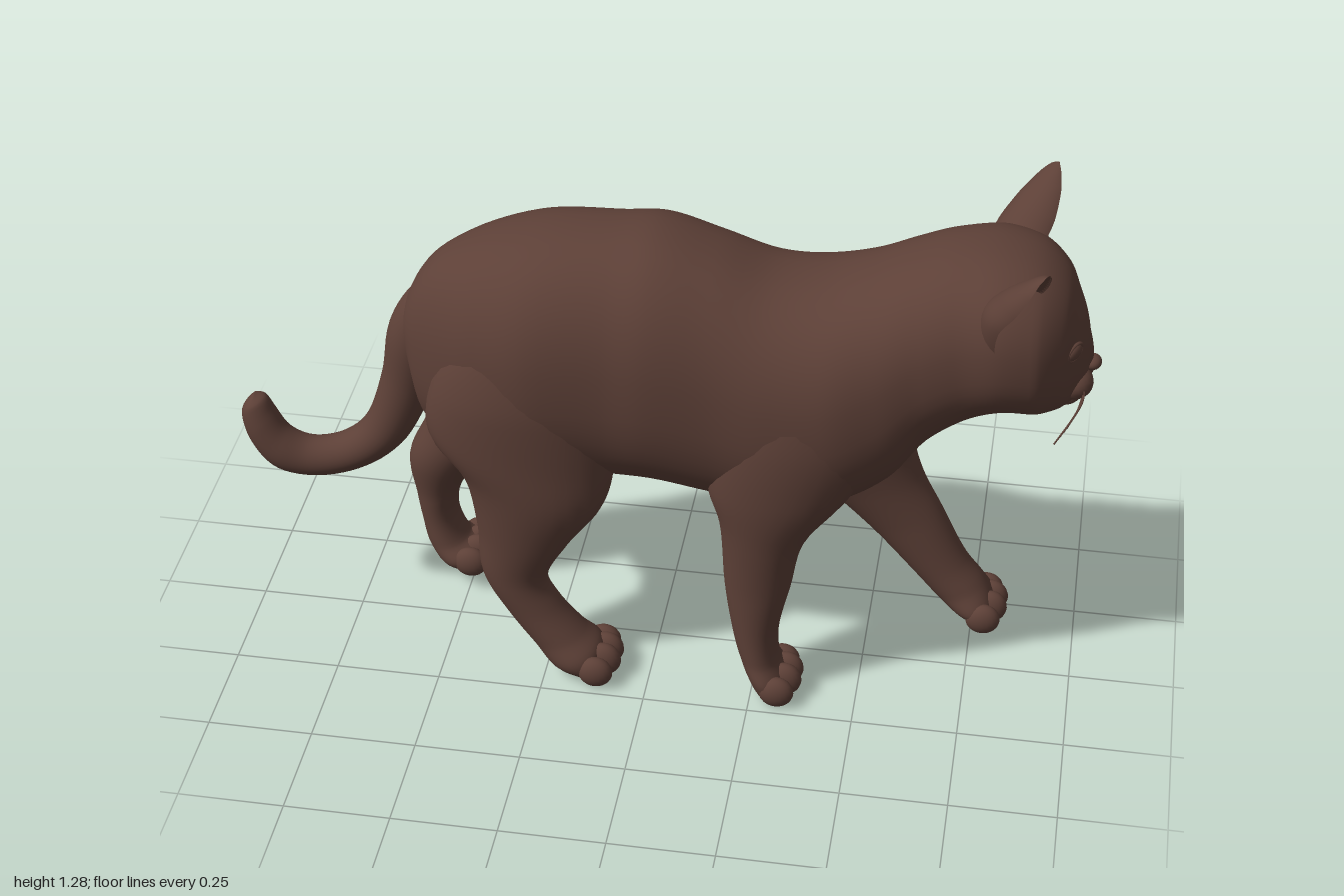
import * as THREE from 'three';

const fur = new THREE.MeshStandardMaterial({ color: 0x5d4037 });
fur.name = 'brownFur';

// Smooth skin through oval rings. Each ring is [ax, ay, bx, by, z, halfWidth]:
// a and b are its opposite edges in the side plane. A power below 1 makes the
// rings squarer; cup hollows the b side.
function loft(rings, { sides = 32, power = 1, cup = -1 } = {}) {
  const curve = (f) => new THREE.CatmullRomCurve3(rings.map(f));
  const aC = curve((r) => new THREE.Vector3(r[0], r[1], 0));
  const bC = curve((r) => new THREE.Vector3(r[2], r[3], 0));
  const wC = curve((r) => new THREE.Vector3(r[4], r[5], 0));
  const soft = (v) => Math.sign(v) * Math.abs(v) ** power;
  const n = (rings.length - 1) * 6;
  const pos = [], idx = [];
  for (let i = 0; i <= n; i++) {
    const a = aC.getPoint(i / n), b = bC.getPoint(i / n), w = wC.getPoint(i / n);
    const hw = Math.max(w.y, 0);
    for (let j = 0; j < sides; j++) {
      const t = (j / sides) * Math.PI * 2;
      let c = soft(Math.cos(t));
      if (c < 0) c *= -cup;
      pos.push((a.x + b.x) / 2 + ((a.x - b.x) / 2) * c,
        (a.y + b.y) / 2 + ((a.y - b.y) / 2) * c, w.x + hw * soft(Math.sin(t)));
      if (i < n) {
        const k = (j + 1) % sides, p = i * sides, q = p + sides;
        idx.push(p + j, p + k, q + j, p + k, q + k, q + j);
      }
    }
  }
  const g = new THREE.BufferGeometry();
  g.setAttribute('position', new THREE.Float32BufferAttribute(pos, 3));
  g.setIndex(idx);
  g.computeVertexNormals();
  return g;
}

export function createModel() {
  const cat = new THREE.Group();
  cat.name = 'cat';
  const add = (name, geometry, parent = cat) => {
    const m = new THREE.Mesh(geometry, fur);
    m.name = name;
    parent.add(m);
    return m;
  };
  const ball = (name, x, y, z, rx, ry, rz, parent = cat) => {
    const m = add(name, new THREE.SphereGeometry(1, 20, 14), parent);
    m.position.set(x, y, z);
    m.scale.set(rx, ry, rz);
    return m;
  };

  // Torso, neck and head in one skin, from rump to face
  add('bodyAndHead', loft([
    [-.595, .84, -.595, .84, 0, 0], [-.59, .93, -.575, .74, 0, .07],
    [-.53, 1.04, -.54, .62, 0, .125], [-.42, 1.11, -.42, .57, 0, .2],
    [-.27, 1.158, -.25, .55, 0, .245], [-.1, 1.175, -.1, .54, 0, .235],
    [0, 1.18, 0, .54, 0, .242], [.13, 1.145, .15, .515, 0, .235],
    [.26, 1.1, .27, .51, 0, .245], [.38, 1.1, .42, .53, 0, .25],
    [.48, 1.13, .55, .61, 0, .228], [.57, 1.172, .63, .72, 0, .208],
    [.66, 1.205, .71, .785, 0, .205], [.76, 1.215, .79, .825, 0, .218],
    [.85, 1.195, .865, .825, 0, .205], [.91, 1.15, .915, .83, 0, .155],
    [.937, 1.1, .937, .835, 0, .104], [.957, 1.05, .955, .85, 0, .07],
    [.97, .99, .968, .88, 0, .04], [.975, .94, .975, .94, 0, 0],
  ], { sides: 48, power: .87 }));

  // Tail sweeping down and curling up
  add('tail', loft([
    [-.42, .93, -.48, 1.03, 0, .07], [-.47, .84, -.585, .95, 0, .075],
    [-.52, .75, -.635, .86, 0, .07], [-.555, .64, -.66, .72, 0, .06],
    [-.62, .52, -.71, .58, .005, .055],
    [-.72, .445, -.77, .53, .015, .05], [-.84, .42, -.84, .52, .03, .048],
    [-.93, .445, -.89, .55, .04, .047], [-.985, .52, -.92, .6, .04, .045],
    [-.998, .6, -.94, .635, .04, .035], [-.975, .635, -.962, .64, .04, .015],
    [-.968, .641, -.968, .641, .04, 0],
  ]));

  // Legs: front and back edges from shoulder or hip to paw, then paw position
  const legs = {
    leftFrontLeg: { side: 1, paw: [.315, .045], rings: [
      [.36, 1, .36, 1, .12, 0], [.48, .92, .22, .92, .135, .09],
      [.53, .76, .15, .76, .138, .117], [.47, .61, .135, .6, .148, .102],
      [.365, .46, .165, .5, .155, .08], [.335, .32, .18, .32, .155, .066],
      [.31, .19, .2, .19, .155, .063], [.315, .11, .22, .11, .155, .066],
      [.335, .06, .24, .06, .155, .08], [.33, .012, .265, .015, .155, .065],
      [.3, .006, .3, .006, .155, 0]] },
    rightFrontLeg: { side: -1, paw: [.78, .08], rings: [
      [.36, 1, .36, 1, .12, 0], [.5, .92, .22, .9, .135, .09],
      [.57, .75, .19, .7, .138, .117], [.58, .58, .26, .5, .148, .102],
      [.61, .46, .38, .4, .155, .082], [.66, .36, .5, .285, .155, .066],
      [.73, .22, .6, .175, .155, .062], [.775, .16, .66, .11, .155, .066],
      [.8, .115, .71, .07, .155, .08], [.81, .08, .755, .05, .155, .065],
      [.785, .045, .785, .045, .155, 0]] },
    leftHindLeg: { side: 1, paw: [-.122, .047], rings: [
      [-.3, 1.02, -.3, 1.02, .11, 0], [-.16, .92, -.45, .92, .125, .09],
      [-.1, .78, -.515, .78, .128, .12], [-.085, .61, -.52, .67, .135, .113],
      [-.11, .5, -.44, .56, .145, .1], [-.19, .385, -.41, .42, .15, .08],
      [-.245, .275, -.4, .285, .155, .062], [-.215, .205, -.345, .18, .155, .06],
      [-.155, .13, -.28, .09, .155, .066], [-.115, .09, -.235, .035, .155, .08],
      [-.11, .045, -.17, .01, .155, .065], [-.13, .015, -.13, .015, .155, 0]] },
    rightHindLeg: { side: -1, paw: [-.495, .085], rings: [
      [-.35, 1, -.35, 1, .11, 0], [-.22, .9, -.47, .9, .125, .09],
      [-.17, .75, -.525, .75, .128, .12], [-.24, .57, -.55, .62, .135, .113],
      [-.38, .45, -.595, .5, .145, .1], [-.47, .37, -.645, .38, .15, .08],
      [-.525, .28, -.635, .26, .16, .062], [-.535, .2, -.625, .18, .165, .06],
      [-.51, .13, -.61, .11, .165, .066], [-.485, .11, -.575, .06, .165, .08],
      [-.485, .075, -.53, .045, .165, .065], [-.5, .05, -.5, .05, .165, 0]] },
  };
  for (const [name, { side, paw, rings }] of Object.entries(legs)) {
    const leg = new THREE.Group();
    leg.name = name;
    cat.add(leg);
    add('limb', loft(rings.map(([ax, ay, bx, by, z, w]) => [ax, ay, bx, by, z * side, w])), leg);
    const z = rings[rings.length - 1][4] * side;
    for (let i = 0; i < 4; i++) {
      const inner = i === 1 || i === 2;
      ball('toe', paw[0] + (inner ? .014 : 0), paw[1] + (inner ? .008 : 0),
        z + (i - 1.5) * .042, .042, inner ? .044 : .04, .027, leg);
    }
  }

  // Muzzle, nose and chin
  ball('chin', .922, .852, 0, .045, .032, .06);
  ball('noseBridge', .948, .975, 0, .028, .085, .036).rotation.z = .22;
  ball('nose', .98, .925, 0, .02, .017, .024);

  for (const s of [1, -1]) {
    ball('muzzlePad', .94, .892, s * .036, .046, .038, .05);

    // Cupped ears opening forward and outward
    const ear = add('ear', loft([
      [-.03, -.08, -.03, -.08, 0, 0], [-.09, -.04, .03, -.05, 0, .062],
      [-.085, .04, .065, .03, s * .01, .078], [-.04, .1, .1, .09, s * .025, .068],
      [.015, .15, .1, .15, s * .04, .045], [.05, .178, .085, .178, s * .047, .022],
      [.073, .189, .073, .189, s * .05, 0],
    ], { cup: .6 }));
    ear.position.set(.82, 1.1, s * .165);
    ear.rotation.y = -s * .45;

    // Eyeball with a raised lid rim
    const eye = new THREE.Group();
    eye.name = 'eye';
    eye.position.set(.936, 1.01, s * .098);
    eye.rotation.y = Math.PI / 2 - s * .5;
    cat.add(eye);
    ball('eyeball', 0, 0, 0, .028, .018, .012, eye);
    add('eyelid', new THREE.TorusGeometry(.03, .006, 8, 24), eye).scale.y = .62;

    // Whiskers
    for (let i = 0; i < 5; i++) {
      const y = .895 - i * .011;
      const path = new THREE.CatmullRomCurve3([
        new THREE.Vector3(.965, y, s * .045),
        new THREE.Vector3(.965 - i * .004, y - .006, s * .11),
        new THREE.Vector3(.935 - i * .006, y - .03 - i * .006, s * (.185 - i * .008)),
      ]);
      add('whisker', new THREE.TubeGeometry(path, 10, .002, 5));
    }
  }
  return cat;
}
